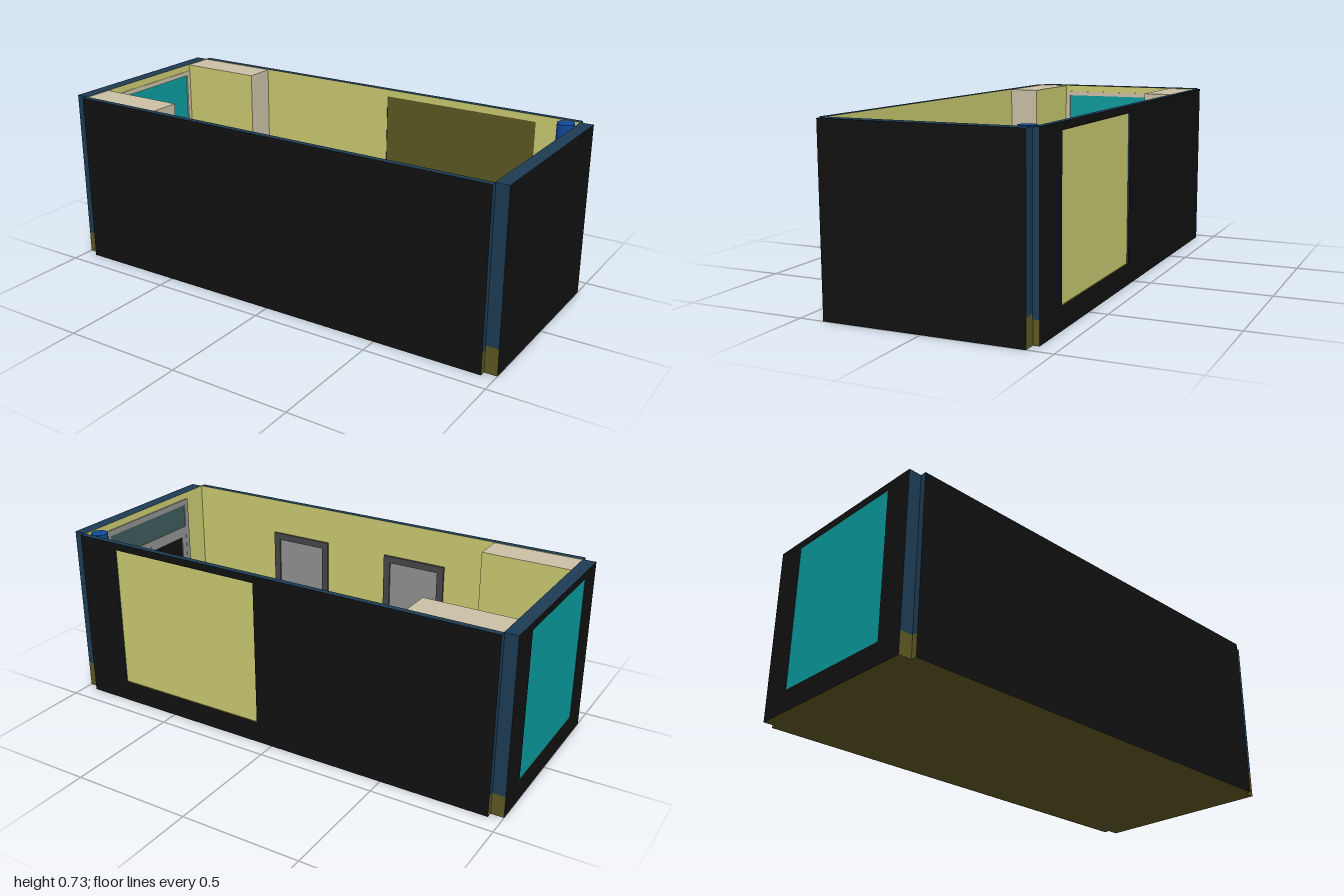
import * as THREE from 'three';

const mat = (color) => new THREE.MeshStandardMaterial({ color });
const M = {
  black: mat(0x111111), navy: mat(0x1d3c54), yellow: mat(0xcccc72), olive: mat(0x5e5922),
  tan: mat(0xcbc1a6), teal: mat(0x0a9c9e), grey: mat(0x939393), darkGrey: mat(0x48484c),
  pink: mat(0xe0b8b8), blue: mat(0x114a9c), glass: mat(0x3e5c5c),
};
const H = 0.73;

// Box given by its low and high corner
function box(parent, name, lo, hi, material) {
  const size = hi.map((v, i) => v - lo[i]);
  const mesh = new THREE.Mesh(new THREE.BoxGeometry(...size), material);
  mesh.position.set(...hi.map((v, i) => (v + lo[i]) / 2));
  mesh.name = name;
  parent.add(mesh);
  return mesh;
}

// Wall built along local x: outer face at local z = 0, inner face at -thickness
function wall(name, length, thickness, skirt, opening) {
  const g = new THREE.Group();
  g.name = name;
  const h = length / 2;
  const faces = [M.navy, M.navy, M.navy, M.olive, M.black, M.yellow];
  const base = [M.olive, M.olive, M.olive, M.olive, M.black, M.olive];
  const part = (n, u0, u1, v0, v1, m) => box(g, n, [u0, v0, -thickness], [u1, v1, 0], m);
  part('skirting', -h, h, 0, skirt, base);
  if (opening) {
    const [u0, u1, top] = opening;
    part('wallEnd', -h, u0, skirt, H, faces);
    part('wallEnd', u1, h, skirt, H, faces);
    part('wallAbove', u0, u1, top, H, faces);
  } else part('wallPanel', -h, h, skirt, H, faces);
  return g;
}

// Rectangular frame in the wall's local plane, from z0 to z1
function frame(g, name, u0, u1, v0, v1, t, z0, z1, m) {
  box(g, name, [u0, v0, z0], [u0 + t, v1, z1], m);
  box(g, name, [u1 - t, v0, z0], [u1, v1, z1], m);
  box(g, name, [u0 + t, v1 - t, z0], [u1 - t, v1, z1], m);
}

export function createModel() {
  const model = new THREE.Group();
  model.name = 'room';

  // Tiled floor with grout lines
  const floor = new THREE.Group();
  floor.name = 'floor';
  model.add(floor);
  box(floor, 'floorSlab', [-0.95, 0, -0.4], [0.945, 0.015, 0.4],
    [M.olive, M.olive, M.grey, M.olive, M.olive, M.olive]);
  for (let i = 0; i < 8; i++) {
    const x = -0.74 + i * 0.211;
    box(floor, 'grout', [x - 0.004, 0.01, -0.4], [x + 0.004, 0.016, 0.4], M.pink);
  }
  for (const z of [-0.2, 0, 0.2])
    box(floor, 'grout', [-0.95, 0.01, z - 0.004], [0.945, 0.0165, z + 0.004], M.pink);

  // Front wall with two inner doors
  const front = wall('frontWall', 1.895, 0.025, 0.09);
  front.position.z = 0.425;
  for (const u of [0.375, -0.205]) {
    frame(front, 'doorFrame', u - 0.145, u + 0.145, 0.015, 0.575, 0.03, -0.035, -0.02, M.darkGrey);
    box(front, 'door', [u - 0.115, 0.015, -0.028], [u + 0.115, 0.545, -0.02], M.grey);
  }
  model.add(front);

  // Back wall with a large filled opening
  const back = wall('backWall', 1.895, 0.025, 0.09, [-0.76, -0.07, 0.7]);
  back.position.z = -0.425;
  back.rotation.y = Math.PI;
  box(back, 'openingPanel', [-0.76, 0.09, -0.023], [-0.07, 0.7, -0.006],
    [M.olive, M.olive, M.olive, M.olive, M.yellow, M.olive]);
  model.add(back);

  // Left wall with glazed double-door unit on the inside
  const left = wall('leftWall', 0.8, 0.055, 0.11);
  left.position.x = 1;
  left.rotation.y = Math.PI / 2;
  frame(left, 'entranceFrame', -0.28, 0.28, 0.015, 0.7, 0.025, -0.062, -0.05, M.grey);
  box(left, 'transomGlass', [-0.255, 0.57, -0.058], [0.255, 0.675, -0.05], M.glass);
  box(left, 'transomBar', [-0.255, 0.55, -0.062], [0.255, 0.57, -0.05], M.grey);
  for (const s of [-1, 1]) {
    const u = s * 0.128;
    frame(left, 'leafFrame', u - 0.127, u + 0.127, 0.015, 0.55, 0.028, -0.061, -0.05, M.grey);
    box(left, 'leafPanel', [u - 0.099, 0.015, -0.057], [u + 0.099, 0.522, -0.05], M.black);
  }
  model.add(left);

  // Right wall with a teal window
  const right = wall('rightWall', 0.8, 0.055, 0.09, [-0.27, 0.28, 0.7]);
  right.position.x = -1;
  right.rotation.y = -Math.PI / 2;
  box(right, 'windowPane', [-0.27, 0.09, -0.052], [0.28, 0.7, -0.002], M.teal);
  frame(right, 'windowFrame', -0.27, 0.27, 0.09, 0.7, 0.02, -0.058, -0.05, M.tan);
  model.add(right);

  // Corner columns, plastered on the face toward the room
  for (const s of [-1, 1]) {
    const z0 = s < 0 ? -0.4 : 0.27;
    const x1 = s < 0 ? -0.575 : -0.57;
    box(model, 'column', [-0.945, 0.015, z0], [x1, H - 0.002, z0 + 0.13],
      [M.tan, M.tan, M.tan, M.tan, M.yellow, M.yellow]);
  }

  // Vertical pipe in the back corner
  const pipe = new THREE.Mesh(new THREE.CylinderGeometry(0.035, 0.035, H, 24), M.blue);
  pipe.name = 'pipe';
  pipe.position.set(0.9, H / 2, -0.362);
  model.add(pipe);

  return model;
}
